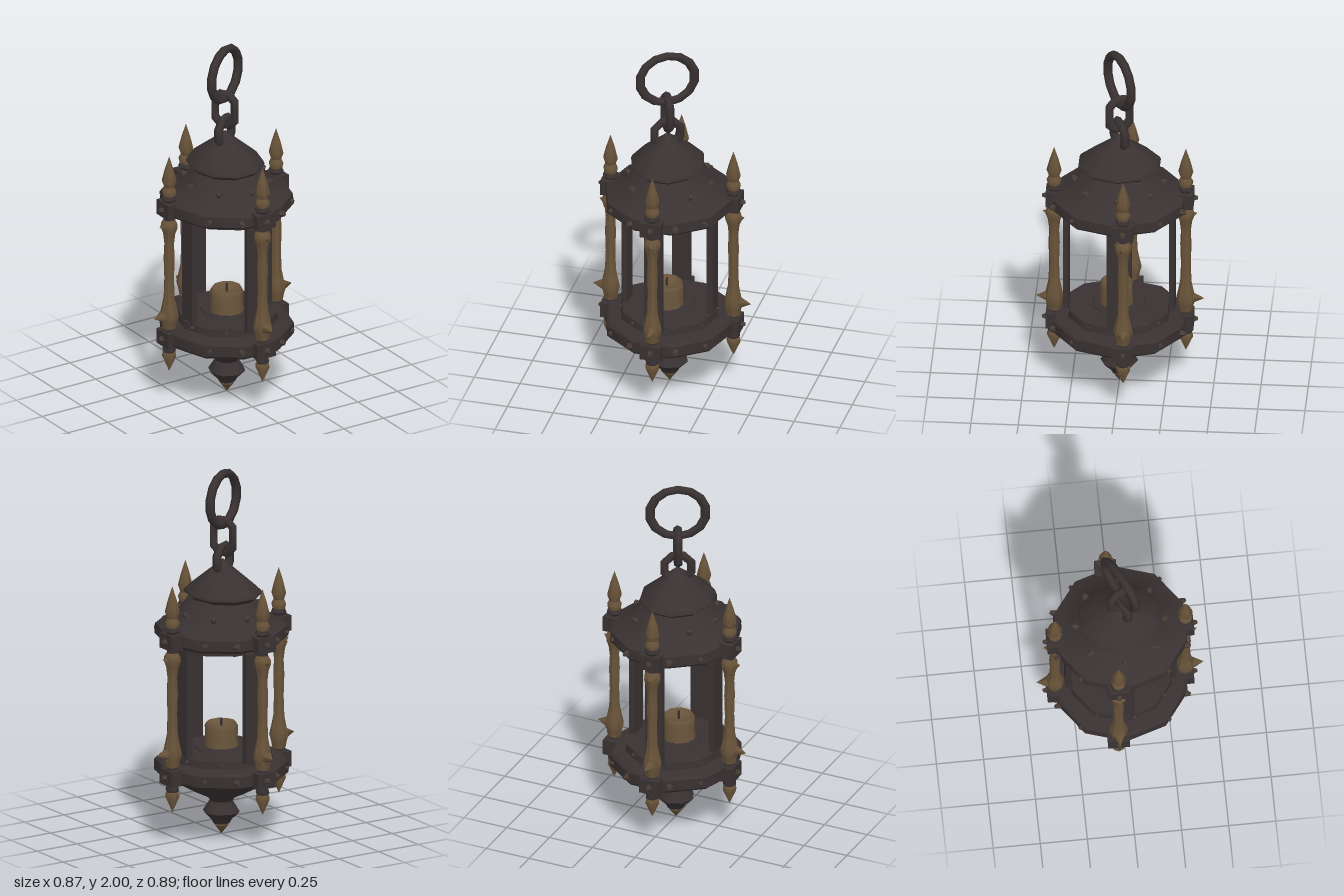
import * as THREE from 'three';
import { toCreasedNormals } from 'three/addons/utils/BufferGeometryUtils.js';

const material = (name, color) => {
  const m = new THREE.MeshStandardMaterial({ color });
  m.name = name;
  return m;
};

export function createModel() {
  const iron = material('dark iron', 0x393132);
  const rivetIron = material('worn rivet iron', 0x463b35);
  const bone = material('aged bone', 0x685339);
  const wax = material('candle wax', 0x68543b);

  const model = new THREE.Group();
  model.name = 'lantern';

  function add(parent, name, geometry, mat, x = 0, y = 0, z = 0) {
    const mesh = new THREE.Mesh(geometry, mat);
    mesh.name = name;
    mesh.position.set(x, y, z);
    parent.add(mesh);
    return mesh;
  }

  // Turned part from [radius, height] pairs, listed bottom to top
  function turned(profile, sides) {
    const points = profile.map(([r, y]) => new THREE.Vector2(r, y));
    return toCreasedNormals(new THREE.LatheGeometry(points, sides, Math.PI / 2), 0.72);
  }

  // Roof: wide lower tier with rim and collar, then a pointed cap
  add(model, 'roofSkirt', turned([
    [0, 1.05], [0.265, 1.05], [0.265, 1.085], [0.335, 1.085], [0.35, 1.1],
    [0.345, 1.155], [0.31, 1.17], [0.235, 1.225], [0.165, 1.32], [0, 1.33],
  ], 10), iron).scale.z = 1.04;
  add(model, 'roofCap', turned([
    [0, 1.3], [0.17, 1.305], [0.2, 1.33], [0.195, 1.345],
    [0.12, 1.41], [0.045, 1.475], [0, 1.515],
  ], 10), iron, -0.01).scale.z = 1.13;

  // Base: bowl, band, collar and candle dish
  add(model, 'baseBowl', turned([
    [0, 0.18], [0.06, 0.19], [0.08, 0.215], [0.15, 0.25], [0.23, 0.295], [0.29, 0.345],
    [0.335, 0.335], [0.35, 0.35], [0.35, 0.41], [0.335, 0.425],
    [0.268, 0.43], [0.262, 0.47], [0.14, 0.475], [0.135, 0.485], [0, 0.485],
  ], 10), iron).scale.z = 1.04;
  add(model, 'bottomBoss', turned([
    [0, 0.06], [0.045, 0.065], [0.055, 0.085], [0.1, 0.13], [0.062, 0.19], [0.062, 0.22],
  ], 8), iron);
  add(model, 'bottomTip', turned([[0, 0.005], [0.038, 0.055], [0.036, 0.068], [0, 0.07]], 8), bone);

  // Candle with a sunken top and a wick
  add(model, 'candle', turned([
    [0.092, 0.48], [0.086, 0.52], [0.088, 0.595], [0.078, 0.613], [0.06, 0.595], [0, 0.588],
  ], 10), wax, -0.01, 0, 0.015);
  add(model, 'wick', new THREE.CylinderGeometry(0.006, 0.008, 0.05, 5), iron, -0.01, 0.61, 0.015);

  // Inner uprights
  for (const s of [-1, 1]) {
    add(model, 'sideUpright', new THREE.BoxGeometry(0.035, 0.6, 0.1), iron, s * 0.233, 0.76, 0);
    add(model, 'endUpright', new THREE.BoxGeometry(0.1, 0.6, 0.03), iron, -0.01, 0.76, s * 0.28);
  }

  // Rivet with its axis turned outward from the lantern
  const rivetGeometry = new THREE.CylinderGeometry(0.009, 0.02, 0.028, 5).toNonIndexed();
  rivetGeometry.computeVertexNormals();
  function rivet(parent, x, y, z, lift = 0, size = 1) {
    const mesh = add(parent, 'rivet', rivetGeometry, rivetIron, x, y, z);
    const out = new THREE.Vector3(x, 0, z).normalize().setY(lift).normalize();
    mesh.quaternion.setFromUnitVectors(new THREE.Vector3(0, 1, 0), out);
    mesh.scale.setScalar(size);
  }
  for (const y of [1.125, 0.38])
    for (const sx of [-1, 1])
      for (const sz of [-1, 1]) {
        rivet(model, sx * 0.127, y, sz * 0.347);
        rivet(model, sx * 0.256, y, sz * 0.232);
      }
  for (let i = 0; i < 8; i++) {
    const a = (i * Math.PI) / 4;
    rivet(model, Math.sin(a) * 0.228, 1.24, Math.cos(a) * 0.243, 0.9);
    rivet(model, Math.sin(a + 0.2) * 0.258, 0.448, Math.cos(a + 0.2) * 0.262, 0, 0.65);
  }

  // Bone posts: local +z points outward
  const boneGeometry = turned([
    [0, 0.43], [0.036, 0.435], [0.042, 0.47], [0.052, 0.505], [0.042, 0.55], [0.03, 0.61],
    [0.026, 0.72], [0.03, 0.84], [0.026, 0.92], [0.033, 0.98], [0.046, 1.015],
    [0.044, 1.04], [0.03, 1.062], [0, 1.066],
  ], 8);
  const topSpike = turned([
    [0, 1.2], [0.034, 1.2], [0.04, 1.225], [0.028, 1.25], [0.04, 1.285], [0.024, 1.35], [0, 1.425],
  ], 8);
  const bottomSpike = turned([[0, 0.185], [0.038, 0.27], [0.036, 0.29], [0.028, 0.305], [0, 0.305]], 8);
  const ironRod = turned([
    [0, 0.285], [0.028, 0.29], [0.036, 0.31], [0.03, 0.34], [0.03, 1.17],
    [0.04, 1.185], [0.032, 1.21], [0, 1.215],
  ], 8);
  const lowerRod = turned([[0, 0.285], [0.028, 0.29], [0.037, 0.31], [0.03, 0.33], [0.03, 0.45], [0, 0.45]], 8);
  const upperRod = turned([[0, 1.05], [0.03, 1.05], [0.03, 1.165], [0.042, 1.18], [0.03, 1.21], [0, 1.21]], 8);

  function post(name, x, z, turn) {
    const g = new THREE.Group();
    g.name = name;
    g.position.set(x, 0, z);
    g.rotation.y = turn;
    add(g, 'boneShaft', boneGeometry, bone);
    add(g, 'topSpike', topSpike, bone);
    add(g, 'bottomSpike', bottomSpike, bone);
    add(g, 'lowerRod', lowerRod, iron);
    add(g, 'upperRod', upperRod, iron);
    for (const y of [1.125, 0.38]) {
      add(g, 'clamp', new THREE.BoxGeometry(0.115, 0.084, 0.085), iron, 0, y, 0);
      rivet(g, 0, y, 0.05);
    }
    // Knuckle spurs
    const spur = add(g, 'lowerSpur', new THREE.ConeGeometry(0.045, 0.085, 6), bone, 0, 0.508, 0.055);
    spur.rotation.x = Math.PI / 2;
    const knob = add(g, 'upperSpur', new THREE.ConeGeometry(0.03, 0.045, 6), bone, 0, 1.025, 0.04);
    knob.rotation.x = Math.PI / 2 - 0.3;
    model.add(g);
  }
  post('frontPost', 0, 0.345, 0);
  post('backPost', -0.03, -0.35, Math.PI);
  post('leftPost', 0.338, -0.043, Math.PI / 2);
  post('rightPost', -0.335, -0.043, -Math.PI / 2);

  // Chain links: rings whose halves are pulled apart vertically
  function link(name, radius, tube, segments, stretch, y, turn) {
    const geometry = new THREE.TorusGeometry(radius, tube, 6, segments).rotateZ(Math.PI / segments);
    const p = geometry.attributes.position;
    for (let i = 0; i < p.count; i++) p.setY(i, p.getY(i) + Math.sign(p.getY(i)) * stretch);
    const mesh = add(model, name, toCreasedNormals(geometry, 1.1), iron, -0.012, y, 0);
    mesh.rotation.y = turn;
    return mesh;
  }
  link('hangingRing', 0.14, 0.024, 14, 0, 1.838, 0.5).scale.x = 1.07;
  link('upperLink', 0.062, 0.025, 8, 0.03, 1.635, 0.5 + Math.PI / 2);
  link('lowerLink', 0.076, 0.024, 8, 0, 1.51, 0.5);

  return model;
}
